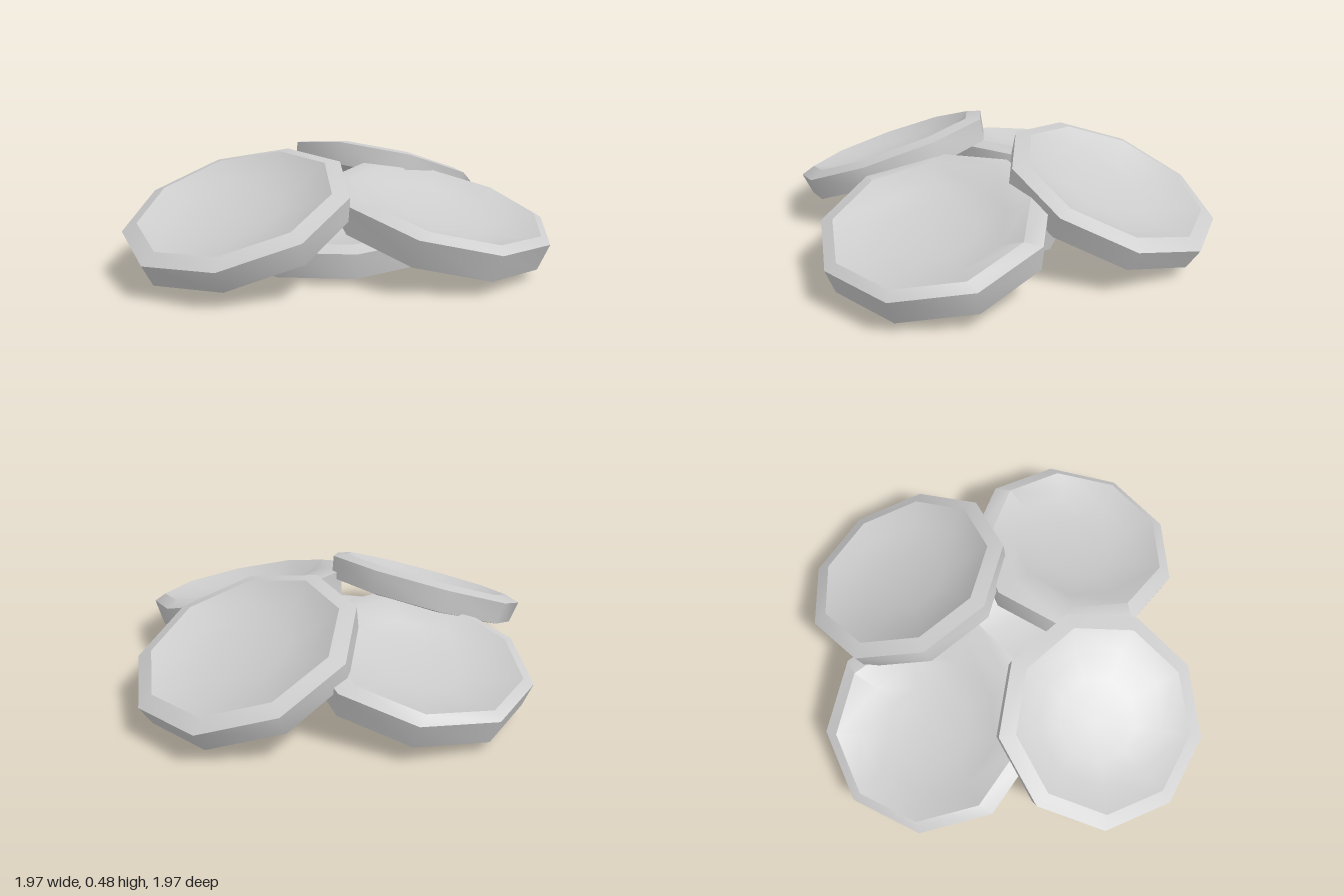
import * as THREE from 'three';
import { toCreasedNormals } from 'three/addons/utils/BufferGeometryUtils.js';

const SIDES = 9;
const TOP_START = 5;
const rad = THREE.MathUtils.degToRad;

// Nine-sided dish with a slightly bulging base, upright wall, sloping rim and
// hollow top. Local y = 0 is the outer edge of the rim; the hollow sits off
// centre by shift along x.
function dishGeometry(phase, wall, shift) {
  const profile = [
    [0, -wall - 0.025], [0.22, -wall - 0.02], [0.40, -wall - 0.008], [0.455, -wall],
    [0.473, 0], [0.405, 0.022],
    [0.3, -0.024], [0.18, -0.048], [0, -0.058],
  ].map(([r, y]) => new THREE.Vector2(r, y));
  const geometry = new THREE.LatheGeometry(profile, SIDES, rad(90 - phase));
  const pos = geometry.attributes.position;
  for (let i = 0; i < pos.count; i++) {
    if (i % profile.length >= TOP_START) pos.setX(i, pos.getX(i) + shift);
  }
  return toCreasedNormals(geometry, rad(41));
}

// phase: angle of one corner in plan, from +x towards +z
const DISHES = [
  { name: 'bottomDish', at: [0.03, 0.13, 0.09], phase: 0, wall: 0.105, tiltX: 0, tiltZ: 0, shift: 0 },
  { name: 'frontDish', at: [-0.08, 0.3, 0.555], phase: 21, wall: 0.1, tiltX: 21, tiltZ: 0, shift: 0 },
  { name: 'backDish', at: [-0.065, 0.305, -0.56], phase: 6, wall: 0.1, tiltX: -21.5, tiltZ: 0, shift: 0 },
  { name: 'leftDish', at: [0.53, 0.27, -0.035], phase: 32, wall: 0.118, tiltX: 0, tiltZ: -15, shift: 0.025 },
  { name: 'rightDish', at: [-0.53, 0.25, -0.035], phase: 29, wall: 0.112, tiltX: 0, tiltZ: 12.5, shift: -0.025 },
];

export function createModel() {
  const group = new THREE.Group();
  group.name = 'dishPile';
  const material = new THREE.MeshStandardMaterial({ color: 0xcccccc });

  // One dish flat at the bottom, four leaning on it
  for (const { name, at, phase, wall, tiltX, tiltZ, shift } of DISHES) {
    const dish = new THREE.Mesh(dishGeometry(phase, wall, shift), material);
    dish.name = name;
    dish.position.set(...at);
    dish.rotation.set(rad(tiltX), 0, rad(tiltZ));
    group.add(dish);
  }
  return group;
}
